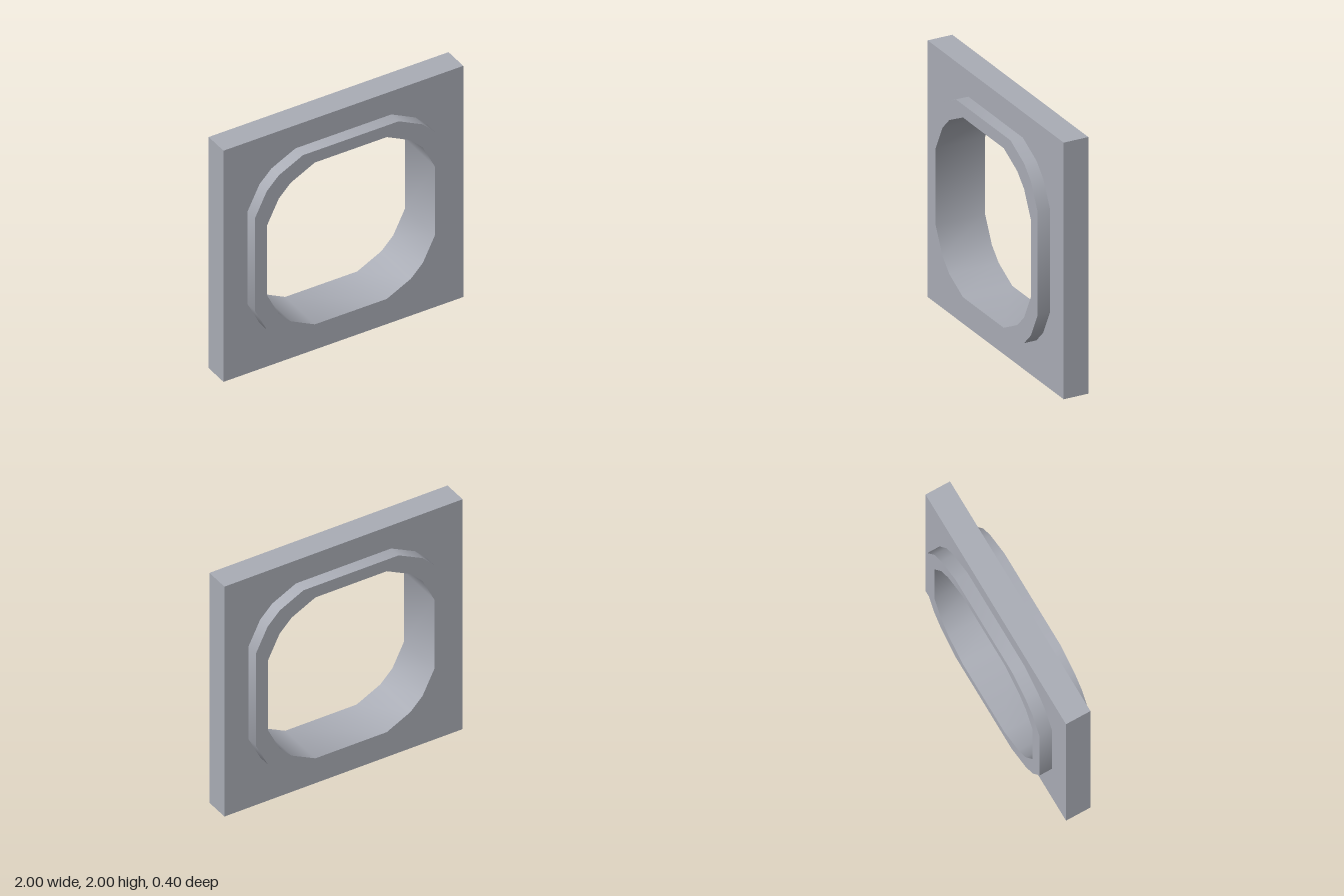
import * as THREE from 'three';
import { toCreasedNormals } from 'three/addons/utils/BufferGeometryUtils.js';

const CREASE = 0.7;

// Full chamfered outline from the four corner points of one quadrant
function outline(corner) {
  const back = [...corner].reverse();
  return [
    ...corner.map(([x, y]) => [x, y]),
    ...back.map(([x, y]) => [-x, y]),
    ...corner.map(([x, y]) => [-x, -y]),
    ...back.map(([x, y]) => [x, -y]),
  ].map(([x, y]) => new THREE.Vector2(x, y + 1));
}

// Extruded slab with one opening, centred on z = 0
function slab(name, outer, hole, depth, material) {
  const shape = new THREE.Shape(outer);
  shape.holes.push(new THREE.Path(hole));
  const geometry = new THREE.ExtrudeGeometry(shape, { depth, bevelEnabled: false });
  geometry.translate(0, 0, -depth / 2);
  const mesh = new THREE.Mesh(toCreasedNormals(geometry, CREASE), material);
  mesh.name = name;
  return mesh;
}

export function createModel() {
  const group = new THREE.Group();
  group.name = 'framedOpening';

  const grey = new THREE.MeshStandardMaterial({ color: 0xa9acb5 });
  grey.name = 'grey';

  const square = outline([[1, 1]]);
  const rimOuter = outline([[0.8, 0.4], [0.7, 0.6], [0.6, 0.7], [0.4, 0.8]]);
  const rimInner = outline([[0.7, 0.3], [0.6, 0.5], [0.5, 0.6], [0.3, 0.7]]);

  // Square wall panel and the thicker rim set into it
  group.add(slab('panel', square, rimOuter, 0.2, grey));
  group.add(slab('rim', rimOuter, rimInner, 0.4, grey));
  return group;
}
